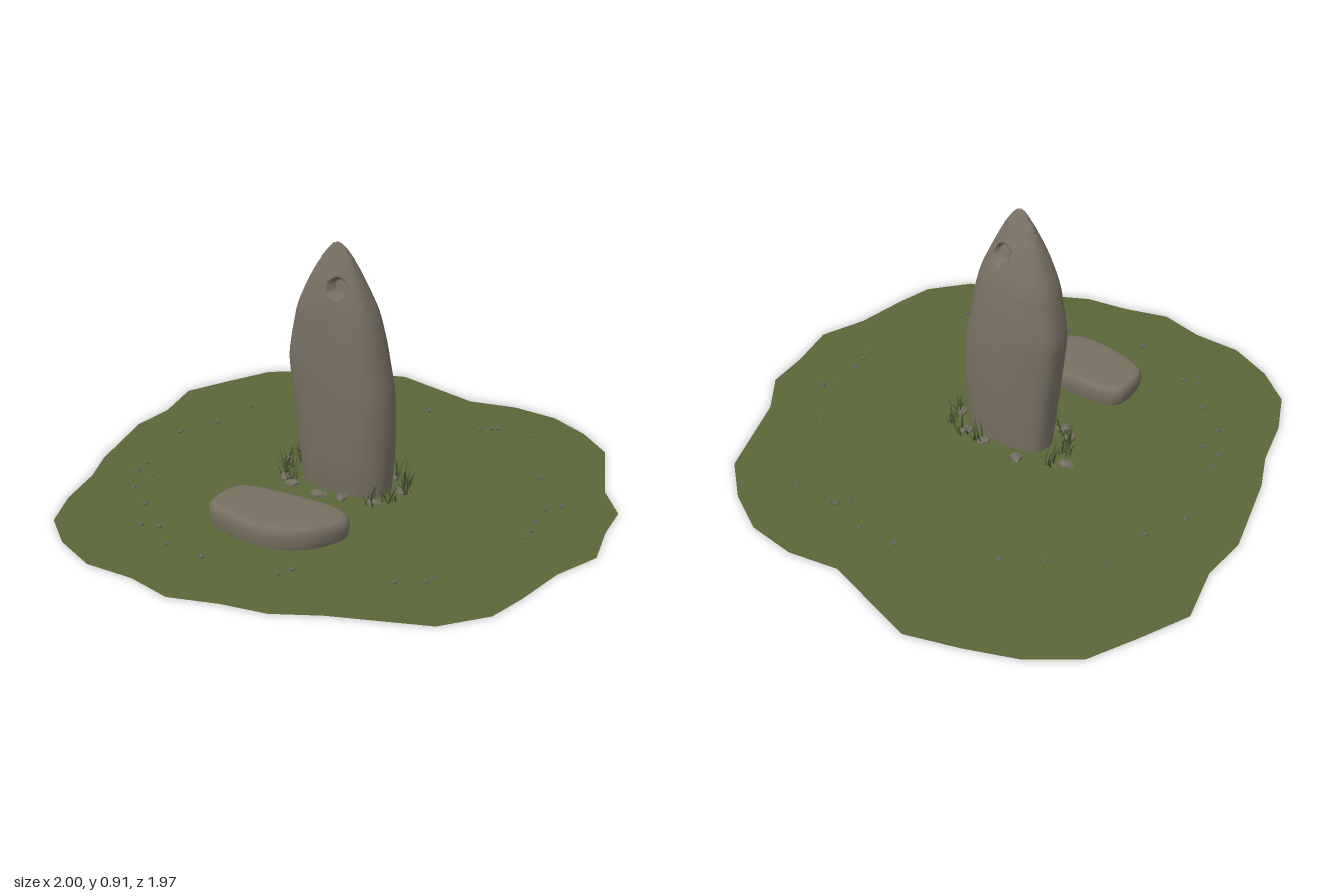
import * as THREE from 'three';

const mat = (name, color, side = THREE.FrontSide) => {
  const m = new THREE.MeshStandardMaterial({ color, side });
  m.name = name;
  return m;
};

// small seeded generator
function seeded(seed) {
  return () => {
    seed = (seed * 16807) % 2147483647;
    return seed / 2147483647;
  };
}

// surface through closed rings of [x, y, z] points, listed bottom to top
function loft(rings) {
  const n = rings[0].length, index = [];
  for (let i = 0; i < rings.length - 1; i++) {
    for (let j = 0; j < n; j++) {
      const k = (j + 1) % n, a = i * n + j, b = i * n + k, c = a + n, d = b + n;
      index.push(a, c, b, b, c, d);
    }
  }
  const g = new THREE.BufferGeometry();
  g.setAttribute('position', new THREE.Float32BufferAttribute(rings.flat(2), 3));
  g.setIndex(index);
  g.computeVertexNormals();
  return g;
}

// rings from one outline, scaled about a centre at each [height, scale] level
const scaledRings = (outline, levels, cx, cz) => levels.map(([y, s]) =>
  outline.map(([x, z]) => [cx + (x - cx) * s, y, cz + (z - cz) * s]));

const GROUND = [
  [-0.35, -0.99], [0.01, -0.91], [0.19, -0.955], [0.37, -0.945], [0.53, -0.87], [0.67, -0.76],
  [0.815, -0.45], [0.925, -0.32], [0.95, -0.165], [1, 0.01], [0.945, 0.18], [0.925, 0.38],
  [0.9, 0.52], [0.79, 0.665], [0.48, 0.8], [0.335, 0.885], [0.18, 0.92], [0.015, 0.98],
  [-0.15, 0.95], [-0.33, 0.96], [-0.5, 0.895], [-0.635, 0.795], [-0.715, 0.64], [-0.77, 0.46],
  [-0.84, 0.32], [-0.94, 0.015], [-0.94, -0.16], [-1, -0.36], [-0.93, -0.54], [-0.855, -0.715],
  [-0.7, -0.84], [-0.53, -0.92]];

const SLAB = [
  [-0.195, 0.365], [-0.14, 0.332], [-0.02, 0.315], [0.125, 0.305], [0.235, 0.318], [0.277, 0.36],
  [0.265, 0.42], [0.215, 0.505], [0.135, 0.56], [0.03, 0.575], [-0.1, 0.558], [-0.175, 0.53],
  [-0.197, 0.485]];

// standing stone: height, left x, right x, back z, front z
const STONE = [
  [0.002, -0.14, 0.2, -0.08, 0.1], [0.1, -0.147, 0.211, -0.087, 0.113],
  [0.25, -0.16, 0.22, -0.09, 0.122], [0.38, -0.172, 0.22, -0.088, 0.126],
  [0.48, -0.18, 0.203, -0.082, 0.126], [0.56, -0.165, 0.19, -0.074, 0.123],
  [0.67, -0.14, 0.163, -0.058, 0.117], [0.77, -0.09, 0.121, -0.02, 0.102],
  [0.85, -0.04, 0.085, 0.02, 0.08], [0.89, -0.005, 0.06, 0.045, 0.068],
  [0.905, 0.012, 0.045, 0.055, 0.064], [0.91, 0.029, 0.031, 0.06, 0.061]];

function standingStoneGeometry() {
  const rows = 130, segs = 160, rings = [];
  const at = (y) => {
    let i = 0;
    while (i < STONE.length - 2 && y > STONE[i + 1][0]) i++;
    const t = (y - STONE[i][0]) / (STONE[i + 1][0] - STONE[i][0]);
    return STONE[i].map((v, k) => v + (STONE[i + 1][k] - v) * t);
  };
  for (let r = 0; r <= rows; r++) {
    const y = 0.002 + 0.908 * Math.sin(Math.PI / 2 * r / rows);
    // average neighbouring heights to soften the key sections
    const s = [-0.025, 0, 0.025].map((d) => at(Math.min(0.91, Math.max(0.002, y + d))));
    const soft = y < 0.85 && y > 0.03;
    const [, x0, x1, z0, z1] = soft ? s[1].map((v, k) => (s[0][k] + v + s[2][k]) / 3) : s[1];
    const ring = [];
    for (let j = 0; j < segs; j++) {
      const a = j / segs * Math.PI * 2, e = 2 / 2.7;
      const c = Math.sign(Math.cos(a)) * Math.abs(Math.cos(a)) ** e;
      const d = Math.sign(Math.sin(a)) * Math.abs(Math.sin(a)) ** e;
      const worn = 1 - 0.02 * (1 + Math.sin(3 * a + 5 * y)) * Math.abs(Math.sin(2 * a));
      const x = (x0 + x1) / 2 + (x1 - x0) / 2 * c * worn;
      let z = (z0 + z1) / 2 + (z1 - z0) / 2 * d * worn;
      // round hollow pressed into both faces
      const q = Math.hypot(x - 0.05, y - 0.76);
      const dip = 1 - THREE.MathUtils.smoothstep(q, 0.027, 0.036);
      z -= Math.sign(d) * 0.03 * dip;
      ring.push([x, y, z]);
    }
    rings.push(ring);
  }
  const base = rings[0];
  rings.unshift(base.map(() => [0.03, 0.002, 0.01]), base.map((p) => [...p]));
  return loft(rings);
}

function slabGeometry() {
  const curve = new THREE.CatmullRomCurve3(SLAB.map(([x, z]) => new THREE.Vector3(x, 0, z)), true);
  const outline = curve.getSpacedPoints(72).slice(0, -1).map((p) => [p.x, p.z]);
  return loft(scaledRings(outline, [[0.002, 0], [0.002, 0.93], [0.006, 0.95], [0.03, 0.99],
    [0.055, 1], [0.072, 0.985], [0.082, 0.95], [0.087, 0.88], [0.089, 0.7], [0.09, 0]], 0.03, 0.44));
}

// tapered curved grass blades fanned out from one spot
function tuftGeometry(rand, x, z) {
  const pos = [];
  for (let i = 0; i < 11; i++) {
    const a = rand() * Math.PI * 2, h = 0.04 + rand() * 0.055, lean = 0.015 + rand() * 0.04, w = 0.0035;
    const bx = x + (rand() - 0.5) * 0.04, bz = z + (rand() - 0.5) * 0.04;
    const c = Math.cos(a), s = Math.sin(a);
    const p = (out, y, side) => [bx + c * out - s * side, y, bz + s * out + c * side];
    const l = p(0, 0.008, -w), r = p(0, 0.008, w);
    const ml = p(lean * 0.35, h * 0.6, -w * 0.7), mr = p(lean * 0.35, h * 0.6, w * 0.7);
    pos.push(...l, ...r, ...mr, ...l, ...mr, ...ml, ...ml, ...mr, ...p(lean, h + 0.008, 0));
  }
  const g = new THREE.BufferGeometry();
  g.setAttribute('position', new THREE.Float32BufferAttribute(pos, 3));
  g.computeVertexNormals();
  return g;
}

export function createModel() {
  const model = new THREE.Group();
  const turf = mat('turf green', 0x5a6637, THREE.DoubleSide);
  const rock = mat('weathered stone', 0x787062);
  const chip = mat('chip stone', 0x746e62);
  const gravel = mat('pebble grey', 0x66655f);
  const blade = mat('grass green', 0x465230, THREE.DoubleSide);
  const rand = seeded(71);
  const add = (name, geometry, material, parent = model) => {
    const m = new THREE.Mesh(geometry, material);
    m.name = name;
    parent.add(m);
    return m;
  };
  const group = (name) => {
    const g = new THREE.Group();
    g.name = name;
    model.add(g);
    return g;
  };

  add('ground', loft(scaledRings(GROUND, [[0, 1], [0.007, 0.8], [0.01, 0.4], [0.01, 0]], 0, 0)), turf);
  add('standingStone', standingStoneGeometry(), rock);
  add('flatSlab', slabGeometry(), rock);

  // packing stones around the foot
  const chips = group('packingStones');
  const chipShape = new THREE.DodecahedronGeometry(1);
  [[-0.25, -0.03, 0.03], [-0.17, 0.1, 0.026], [-0.12, 0.13, 0.03], [0.005, 0.15, 0.032],
    [0.09, 0.13, 0.026], [0.2, 0.1, 0.026], [0.235, -0.03, 0.026], [0.15, -0.1, 0.028],
    [0.06, -0.11, 0.026], [-0.09, -0.11, 0.028]].forEach(([x, z, r]) => {
    const m = add('packingStone', chipShape, chip, chips);
    m.position.set(x, 0.014, z);
    m.scale.set(r, 0.013, r * 0.85);
    m.rotation.y = rand() * 6;
  });
  chipShape.computeVertexNormals();

  // grass at both ends and along the back
  const grass = group('grassTufts');
  [[-0.2, -0.06], [-0.215, 0.02], [-0.18, 0.09], [-0.13, 0.11], [0.235, 0.06], [0.25, -0.02],
    [0.22, -0.09], [0.15, -0.12], [0.08, -0.12], [0.2, 0.11]].forEach(([x, z]) =>
    add('grassTuft', tuftGeometry(rand, x, z), blade, grass));

  // scattered pebbles
  const pebbles = group('pebbles');
  const pebbleShape = new THREE.IcosahedronGeometry(1);
  [[-0.06, -0.71], [0.08, -0.73], [0.2, -0.65], [0.23, -0.69], [0.25, -0.7], [0.4, -0.71], [-0.38, -0.55],
    [-0.5, -0.46], [-0.67, -0.35], [-0.68, -0.15], [-0.74, 0], [-0.75, 0.04], [-0.66, 0.29],
    [-0.64, 0.35], [-0.64, 0.37], [-0.57, 0.36], [-0.56, 0.47], [-0.44, 0.55], [-0.35, 0.67],
    [-0.29, 0.65], [-0.19, 0.73], [-0.04, 0.735], [0.23, 0.69], [0.25, 0.64], [0.56, 0.53],
    [0.64, 0.47], [0.645, 0.435], [0.59, -0.4], [0.62, -0.36], [0.75, -0.24], [0.76, -0.23],
    [0.715, -0.18], [0.72, -0.1], [0.735, -0.08], [0.75, -0.02], [0.76, 0.03]].forEach(([x, z]) => {
    const m = add('pebble', pebbleShape, gravel, pebbles), r = 0.006 + rand() * 0.004;
    m.position.set(x, 0.015, z);
    m.scale.set(r, r * 0.8, r);
    m.rotation.y = rand() * 6;
  });
  return model;
}
